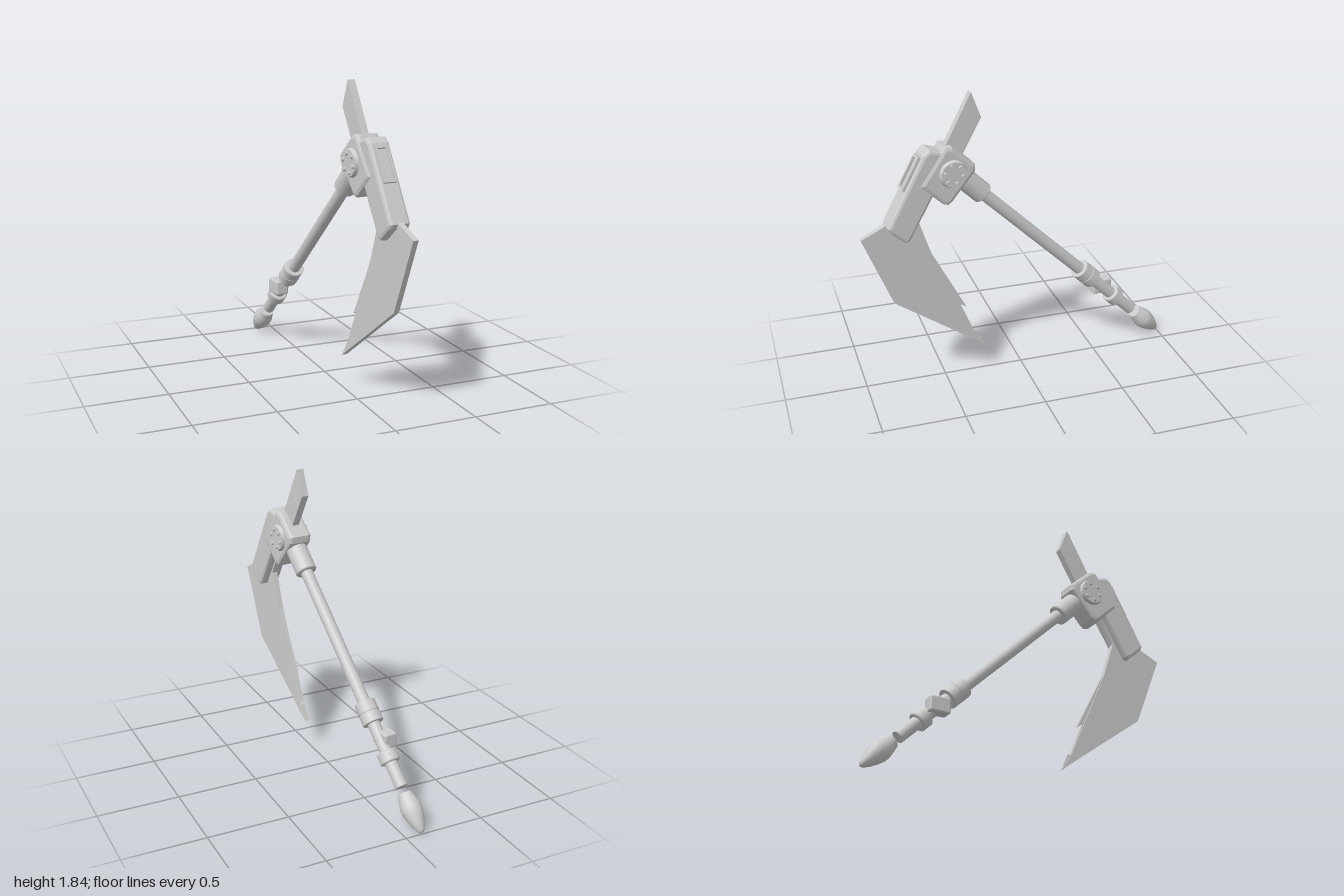
import * as THREE from 'three';
import { RoundedBoxGeometry } from 'three/addons/geometries/RoundedBoxGeometry.js';

const steel = new THREE.MeshStandardMaterial({ color: 0xcccccc });
steel.name = 'plainGrey';

function add(parent, name, geometry) {
  const mesh = new THREE.Mesh(geometry, steel);
  mesh.name = name;
  parent.add(mesh);
  return mesh;
}

// Extrudes an outline symmetrically about depth 0, with an optional inset bevel.
function slab(points, thickness, bevel = 0) {
  const shape = new THREE.Shape(points.map(([x, y]) => new THREE.Vector2(x, y)));
  const depth = thickness - 2 * bevel;
  return new THREE.ExtrudeGeometry(shape, {
    depth, bevelEnabled: bevel > 0, bevelThickness: bevel, bevelSize: bevel,
    bevelOffset: -bevel, bevelSegments: 2,
  }).translate(0, 0, -depth / 2);
}

// Solid of revolution between two distances along the handle, with chamfered ends.
function sleeve(from, to, r, chamfer = 0.006) {
  const p = [[0, from], [r - chamfer, from], [r - chamfer, from], [r, from + chamfer], [r, from + chamfer],
    [r, to - chamfer], [r, to - chamfer], [r - chamfer, to], [r - chamfer, to], [0, to]];
  return new THREE.LatheGeometry(p.map(([x, y]) => new THREE.Vector2(x, y)), 32);
}

export function createModel() {
  const model = new THREE.Group();
  model.name = 'pickAxe';

  // Side-profile frame: x runs to the back, y up, z to the left side.
  const body = new THREE.Group();
  body.name = 'body';
  body.rotation.y = Math.PI / 2 + 0.105;
  model.add(body);

  // Curved blade with its thinner toothed cutting edge
  add(body, 'blade', slab([
    [-1.0, 1.05], [-0.82, 0.605], [-0.25, 0.19], [-0.325, 0.31], [-0.405, 0.49],
    [-0.575, 0.87], [-0.65, 1.1], [-0.56, 1.28], [-0.62, 1.38], [-0.78, 1.14], [-0.84, 1.12],
  ], 0.034));
  add(body, 'toothedEdge', slab([
    [-0.6, 0.87], [-0.45, 0.46], [-0.27, 0.2], [-0.25, 0.19], [-0.298, 0.295], [-0.318, 0.298],
    [-0.405, 0.505], [-0.367, 0.482], [-0.57, 0.87],
  ], 0.016));

  // Top spike
  add(body, 'spike', slab([
    [-0.314, 1.845], [-0.53, 1.45], [-0.42, 1.4], [-0.255, 1.69],
  ], 0.046));

  // Arm holding the blade
  add(body, 'arm', slab([
    [-0.85, 1.11], [-0.838, 1.083], [-0.745, 1.003], [-0.72, 1.012], [-0.47, 1.44],
    [-0.505, 1.525], [-0.585, 1.55], [-0.62, 1.523],
  ], 0.135, 0.018));

  // Raised window frame on the front of the arm
  const frame = new THREE.Shape([[-1, -1], [1, -1], [1, 1], [-1, 1]]
    .map(([x, y]) => new THREE.Vector2(x * 0.042, y * 0.108)));
  frame.holes.push(new THREE.Path([[-1, -1], [-1, 1], [1, 1], [1, -1]]
    .map(([x, y]) => new THREE.Vector2(x * 0.029, y * 0.092))));
  const frameMesh = add(body, 'windowFrame', new THREE.ExtrudeGeometry(frame, { depth: 0.035, bevelEnabled: false })
    .rotateY(-Math.PI / 2).rotateZ(-0.51));
  frameMesh.position.set(-0.683 + 0.016, 1.41 - 0.009, 0);

  // Hub block
  add(body, 'hub', slab([
    [-0.652, 1.34], [-0.51, 1.208], [-0.485, 1.2], [-0.458, 1.217], [-0.312, 1.385],
    [-0.31, 1.425], [-0.45, 1.552], [-0.495, 1.558],
  ], 0.155, 0.022));

  // Round side plates with a ring of rivets, on both sides
  for (const side of [1, -1]) {
    const plate = new THREE.Group();
    plate.name = side > 0 ? 'leftHubPlate' : 'rightHubPlate';
    plate.position.set(-0.453, 1.394, 0);
    plate.rotation.x = side * Math.PI / 2;
    body.add(plate);
    add(plate, 'disc', new THREE.CylinderGeometry(0.076, 0.09, 0.035, 32)).position.y = 0.081;
    for (let i = 0; i < 6; i++) {
      const a = (i / 6) * Math.PI * 2 + 0.25;
      add(plate, 'rivet', new THREE.CylinderGeometry(0.011, 0.013, 0.02, 12))
        .position.set(Math.cos(a) * 0.056, 0.101, Math.sin(a) * 0.056);
    }
  }

  // Handle, its y axis running from the hub down to the pommel
  const handle = new THREE.Group();
  handle.name = 'handle';
  handle.position.set(-0.244, 1.212, 0);
  handle.rotation.z = -2.339;
  body.add(handle);
  add(handle, 'socket', sleeve(-0.19, 0, 0.066));
  add(handle, 'shaft', sleeve(-0.05, 1.451, 0.038, 0.002));
  add(handle, 'upperCollar', sleeve(0.906, 0.975, 0.064, 0.003));
  add(handle, 'upperCollarEnd', sleeve(0.975, 1.042, 0.064, 0.003));
  add(handle, 'lowerCollar', sleeve(1.227, 1.297, 0.06));

  // Detached pommel
  const pommel = [[0, 1.49], [0.041, 1.49], [0.041, 1.49], [0.053, 1.53], [0.063, 1.57], [0.063, 1.6],
    [0.054, 1.64], [0.038, 1.685], [0.022, 1.72], [0.011, 1.732], [0, 1.735]];
  add(handle, 'pommel', new THREE.LatheGeometry(pommel.map(([x, y]) => new THREE.Vector2(x, y)), 32));

  // Small block on the right side of the grip
  add(body, 'gripBlock', new RoundedBoxGeometry(0.13, 0.095, 0.085, 2, 0.012)).position.set(0.578, 0.42, -0.032);

  return model;
}
